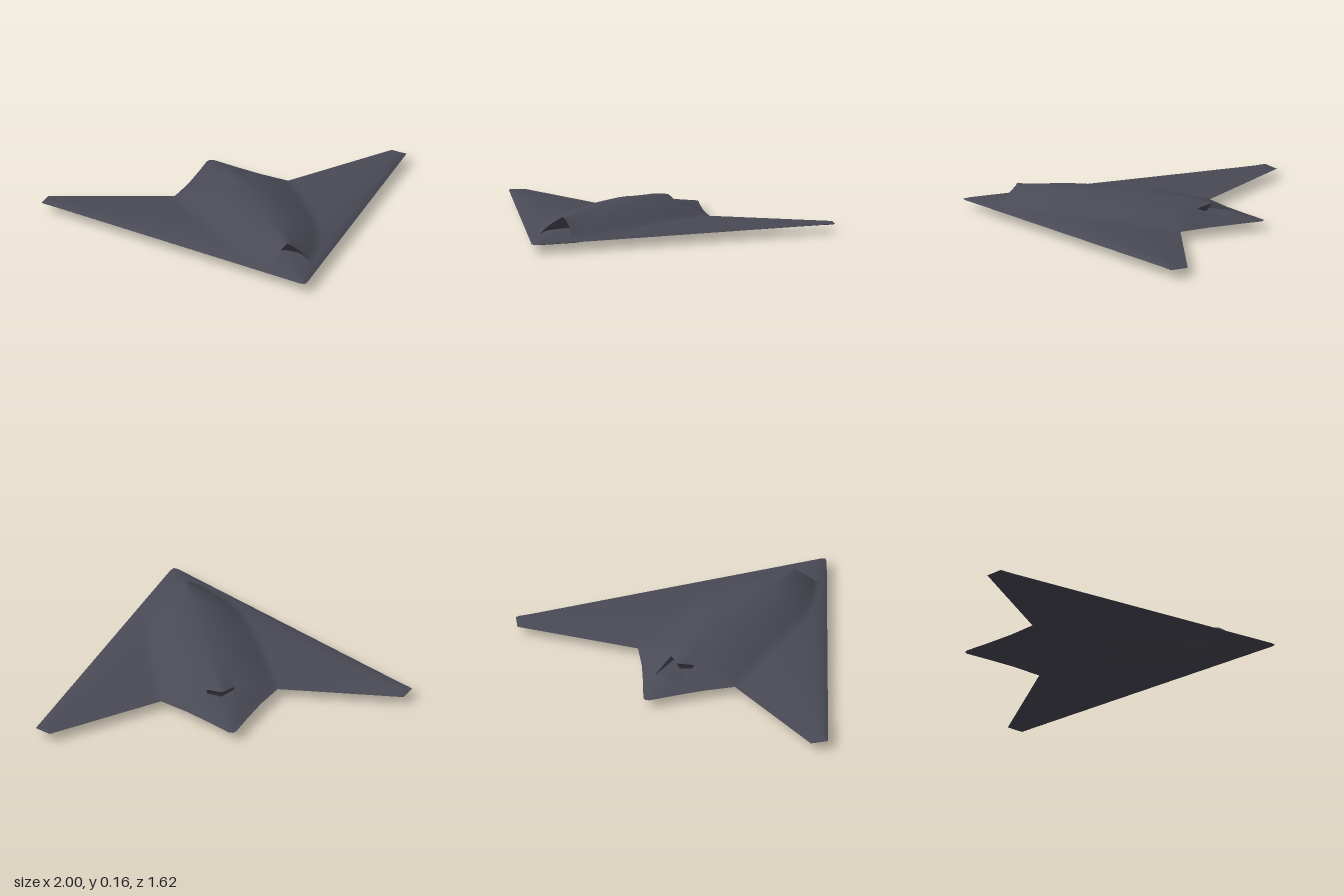
import * as THREE from 'three';

const clamp01 = (v) => Math.min(1, Math.max(0, v));

// piecewise-linear lookup through [input, value] points, inputs ascending
function lookup(points) {
  return (v) => {
    if (v <= points[0][0]) return points[0][1];
    for (let i = 1; i < points.length; i++) {
      const [a, ya] = points[i - 1], [b, yb] = points[i];
      if (v <= b) return ya + (yb - ya) * (v - a) / (b - a);
    }
    return points[points.length - 1][1];
  };
}

// plan outline, by distance from the centre line
const leadAt = lookup([[0, 0.81], [0.02, 0.795], [1, -0.57]]);
const trailAt = lookup([[0, -0.81], [0.02, -0.8], [0.1, -0.69], [0.2, -0.56], [0.31, -0.44], [0.94, -0.64], [1, -0.57]]);
const lead = (x) => leadAt(Math.abs(x));
const trail = (x) => trailAt(Math.abs(x));

// fuselage half width, spine height and keel depth along z
const bodyWidth = lookup([[-0.81, 0.01], [-0.69, 0.1], [-0.56, 0.2], [-0.44, 0.31], [0.05, 0.28], [0.28, 0.25], [0.44, 0.19], [0.58, 0.1], [0.81, 0.01]]);
const spine = lookup([[-0.81, 0.05], [-0.62, 0.084], [-0.53, 0.107], [-0.4, 0.137], [-0.2, 0.161], [0.1, 0.167], [0.4, 0.163], [0.52, 0.156]]);
const keel = lookup([[-0.81, 0], [-0.5, 0.02], [0, 0.035], [0.4, 0.037], [0.81, 0]]);

// intake and exhaust lips
const INTAKE = 0.1, EXHAUST = 0.075, TRENCH_END = -0.62;
const intakeLip = (x) => 0.52 + 0.85 * (Math.hypot(x, 0.03) - 0.03);
const exhaustLip = (x) => -0.53 + 0.8 * Math.abs(x);

// wing section, zero at both edges
function foil(x, z) {
  const chord = Math.max(0.02, lead(x) - trail(x));
  const t = (lead(x) - z) / chord;
  return Math.sin(Math.PI * Math.min(1.2, Math.sign(t) * Math.abs(t) ** 0.7));
}
const wingTop = (x, z) => 0.05 + (0.041 - 0.034 * Math.abs(x)) * foil(x, z);

function bodyTop(x, z) {
  const s = Math.min(1, Math.abs(x) / bodyWidth(z));
  const sharp = clamp01((z - 0.3) / 0.2);
  const bell = Math.cos(s * Math.PI / 2) * (1 - sharp) + (1 - s) * sharp;
  return wingTop(x, z) + Math.max(0, spine(z) - wingTop(0, z)) * bell;
}
const dorsalTop = (x, z) =>
  bodyTop(x, z) + 0.018 * Math.max(0, 1 - Math.abs(x) / EXHAUST) * clamp01((-0.25 - z) / 0.28);
const bottom = (x, z) =>
  0.05 - (0.011 - 0.007 * Math.abs(x)) * foil(x, z) - keel(z) * Math.exp(-((x / (0.42 * bodyWidth(z))) ** 2));
const trenchFloor = (x, z) =>
  0.075 + (bodyTop(x, TRENCH_END) - 0.075) * clamp01((-0.42 - z) / 0.2);

// stations between break points
function stations(breaks, step) {
  const xs = [breaks[0]];
  for (let i = 1; i < breaks.length; i++) {
    const a = breaks[i - 1], b = breaks[i], n = Math.ceil((b - a) / step);
    for (let k = 1; k <= n; k++) xs.push(a + (b - a) * k / n);
  }
  return xs;
}

function gridGeometry(positions, columns, rows, normals, flip) {
  const index = [];
  for (let i = 0; i < columns - 1; i++) {
    for (let j = 0; j < rows - 1; j++) {
      const a = i * rows + j, b = a + rows, c = a + 1, d = b + 1;
      if (flip) index.push(a, c, b, b, c, d);
      else index.push(a, b, c, b, d, c);
    }
  }
  const g = new THREE.BufferGeometry();
  g.setAttribute('position', new THREE.Float32BufferAttribute(positions, 3));
  g.setIndex(index);
  if (normals) g.setAttribute('normal', new THREE.Float32BufferAttribute(normals, 3));
  else g.computeVertexNormals();
  return g;
}

// surface y = height(x, z) from a front edge to a back edge
function skin(xs, front, back, height, rows = 60, down = false) {
  const positions = [], normals = [], e = 0.025, n = new THREE.Vector3();
  for (const x of xs) {
    for (let j = 0; j < rows; j++) {
      const z = front(x) + (back(x) - front(x)) * j / (rows - 1);
      positions.push(x, height(x, z), z);
      n.set(height(x - e, z) - height(x + e, z), 2 * e, height(x, z - e) - height(x, z + e)).normalize();
      if (down) n.negate();
      normals.push(n.x, n.y, n.z);
    }
  }
  return gridGeometry(positions, xs.length, rows, normals, down);
}

// straight-ruled strip between two edges
function strip(values, edgeA, edgeB, flip = false) {
  const positions = [];
  for (const v of values) positions.push(...edgeA(v), ...edgeB(v));
  return gridGeometry(positions, values.length, 2, null, flip);
}

export function createModel() {
  const group = new THREE.Group();
  const hull = new THREE.MeshStandardMaterial({ color: 0x4a4a56, side: THREE.DoubleSide });
  hull.name = 'darkGreyHull';
  const add = (name, geometry) => {
    const mesh = new THREE.Mesh(geometry, hull);
    mesh.name = name;
    group.add(mesh);
  };
  const mirrored = (xs) => xs.map((x) => -x).reverse();

  // wings and body shoulders
  const outer = stations([INTAKE, 0.2, 0.31, 0.94, 1], 0.02);
  add('leftWingTop', skin(outer, lead, trail, bodyTop, 80));
  add('rightWingTop', skin(mirrored(outer), lead, trail, bodyTop, 80));
  const shoulder = stations([EXHAUST, INTAKE], 0.01);
  add('leftShoulder', skin(shoulder, intakeLip, trail, bodyTop, 80));
  add('rightShoulder', skin(mirrored(shoulder), intakeLip, trail, bodyTop, 80));

  // underside
  const under = stations([0, 0.02, 0.1, 0.2, 0.31, 0.94, 1], 0.02);
  add('underside', skin([...mirrored(under).slice(0, -1), ...under], lead, trail, bottom, 70, true));

  // nose, dorsal hump and tail
  const noseXs = stations([-INTAKE, -0.02, 0, 0.02, INTAKE], 0.01);
  const centreXs = stations([-EXHAUST, -0.02, 0, 0.02, EXHAUST], 0.01);
  add('nose', skin(noseXs, lead, (x) => intakeLip(x) - 0.08, wingTop, 24));
  add('dorsalHump', skin(centreXs, intakeLip, exhaustLip, dorsalTop, 70));
  add('tail', skin(centreXs, () => TRENCH_END, trail, bodyTop, 20));

  // recessed intake face under the lip
  add('intakeFace', strip(noseXs,
    (x) => [x, bodyTop(x, intakeLip(x)), intakeLip(x)],
    (x) => [x, wingTop(x, intakeLip(x) - 0.07), intakeLip(x) - 0.07], true));

  // exhaust trench: floor, recessed face and side walls
  add('exhaustFloor', skin(centreXs, (x) => exhaustLip(x) + 0.04, () => TRENCH_END, trenchFloor, 16));
  add('exhaustFace', strip(centreXs,
    (x) => [x, dorsalTop(x, exhaustLip(x)), exhaustLip(x)],
    (x) => [x, trenchFloor(x, exhaustLip(x) + 0.03), exhaustLip(x) + 0.03]));
  const wallZs = stations([TRENCH_END, -0.43], 0.02);
  for (const side of [1, -1]) {
    const x = side * EXHAUST;
    add(side > 0 ? 'leftExhaustWall' : 'rightExhaustWall', strip(wallZs,
      (z) => [x, bodyTop(x, z), z],
      (z) => [x, trenchFloor(x, z), z], side < 0));
  }
  return group;
}
